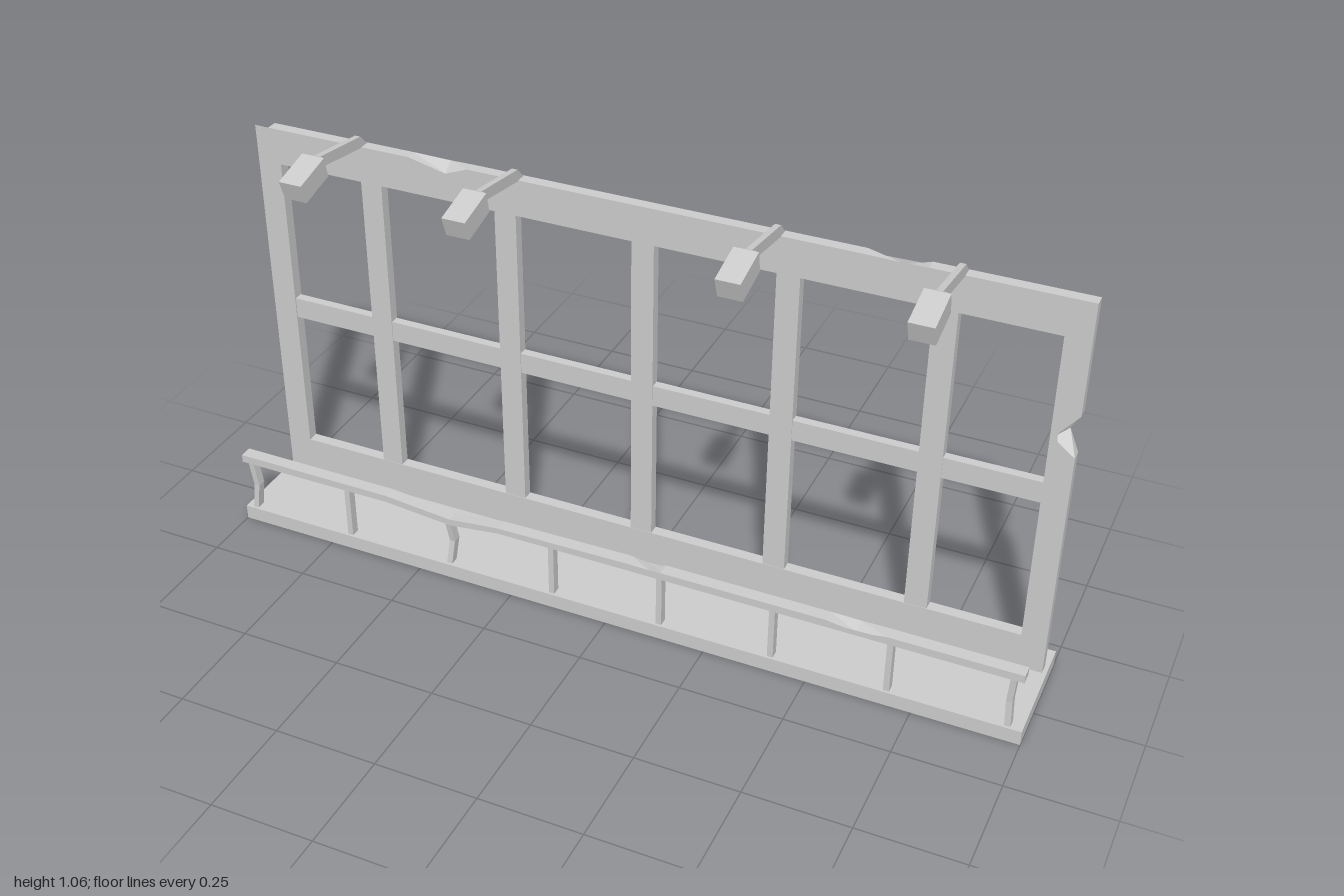
import * as THREE from 'three';

const material = new THREE.MeshStandardMaterial({ color: 0xcccccc, flatShading: true, side: THREE.DoubleSide });

function add(parent, name, geometry, x = 0, y = 0, z = 0) {
  const mesh = new THREE.Mesh(geometry, material);
  mesh.name = name;
  mesh.position.set(x, y, z);
  parent.add(mesh);
  return mesh;
}

// Box given by its limits on each axis
function block(parent, name, [x0, x1], [y0, y1], [z0, z1]) {
  return add(parent, name, new THREE.BoxGeometry(x1 - x0, y1 - y0, z1 - z0),
    (x0 + x1) / 2, (y0 + y1) / 2, (z0 + z1) / 2);
}

const toPoints = list => list.map(([x, y]) => new THREE.Vector2(x, y));

// Front outline given depth; each chip pulls one outline corner on the front or back face
function chippedPanel(outline, holes, z0, z1, chips) {
  const shape = new THREE.Shape(toPoints(outline));
  for (const hole of holes) shape.holes.push(new THREE.Path(toPoints(hole)));
  const geo = new THREE.ExtrudeGeometry(shape, { depth: z1 - z0, bevelEnabled: false });
  geo.translate(0, 0, z0);
  const p = geo.attributes.position, middle = (z0 + z1) / 2;
  for (let i = 0; i < p.count; i++) {
    const front = p.getZ(i) > middle;
    for (const { at, to, face } of chips) {
      if (front === (face === 'front') && Math.hypot(p.getX(i) - at[0], p.getY(i) - at[1]) < 1e-4) {
        p.setXY(i, to[0], to[1]);
        break;
      }
    }
  }
  geo.computeVertexNormals();
  return geo;
}

// Side profile of [z, y] points, extruded across x and centred
function sideProfile(points, width) {
  const geo = new THREE.ExtrudeGeometry(new THREE.Shape(toPoints(points)), { depth: width, bevelEnabled: false });
  geo.translate(0, 0, -width / 2);
  geo.rotateY(-Math.PI / 2);
  return geo;
}

// Narrow a geometry in x where the test holds
function taper(geo, test, factor) {
  const p = geo.attributes.position;
  for (let i = 0; i < p.count; i++) {
    if (test(p.getY(i), p.getZ(i))) p.setX(i, p.getX(i) * factor);
  }
  geo.computeVertexNormals();
  return geo;
}

function makeLamp(x) {
  const lamp = new THREE.Group();
  lamp.name = 'lamp';
  lamp.position.x = x;
  add(lamp, 'lampArm', sideProfile(
    [[-0.125, 0.998], [-0.1, 0.998], [0.078, 1.025], [0.078, 1.052], [-0.097, 1.027]], 0.014));
  add(lamp, 'lampNeck', taper(sideProfile(
    [[0.074, 1.022], [0.084, 1.008], [0.087, 1.058], [0.074, 1.053]], 0.056), (y, z) => z < 0.08, 0.5));
  add(lamp, 'lampHousing', sideProfile(
    [[0.168, 0.986], [0.185, 1.034], [0.087, 1.059], [0.076, 1.01]], 0.056));
  add(lamp, 'lampLens', taper(sideProfile(
    [[0.157, 0.99], [0.145, 0.976], [0.1, 0.988], [0.092, 1.007]], 0.046), y => y < 0.989, 0.75));
  return lamp;
}

// Guard post, optionally kinked along its height
function postGeometry(bendX, bendZ) {
  const geo = new THREE.BoxGeometry(0.014, 0.14, 0.022, 1, 4, 1);
  const p = geo.attributes.position;
  for (let i = 0; i < p.count; i++) {
    const k = Math.max(0, 1 - Math.abs(p.getY(i)) / 0.07);
    p.setX(i, p.getX(i) + bendX * k);
    p.setZ(i, p.getZ(i) + bendZ * k);
  }
  return geo;
}

export function createModel() {
  const model = new THREE.Group();
  model.name = 'billboardFrame';

  // Ground slab
  block(model, 'base', [-1, 1], [0, 0.037], [-0.185, 0.112]);

  // Outer frame with worn edges
  const frameOutline = [
    [-0.996, 0.037], [0.99, 0.037], [0.99, 0.625], [0.967, 0.68], [0.99, 0.73], [0.99, 1],
    [0.64, 1], [0.58, 0.999], [0.5, 1], [-0.435, 1], [-0.49, 0.999], [-0.585, 1],
    [-0.96, 0.9995], [-0.996, 1], [-0.9955, 0.96]];
  const opening = [[-0.935, 0.128], [-0.935, 0.91], [0.932, 0.91], [0.932, 0.128]];
  add(model, 'outerFrame', chippedPanel(frameOutline, [opening], -0.126, -0.098, [
    { at: [0.967, 0.68], to: [0.938, 0.665], face: 'front' },
    { at: [-0.49, 0.999], to: [-0.49, 0.978], face: 'front' },
    { at: [0.58, 0.999], to: [0.58, 0.98], face: 'back' },
    { at: [-0.996, 1], to: [-0.973, 0.977], face: 'back' },
  ]));

  // Uprights and the crossbar pieces between them
  const uprights = [-0.69, -0.342, -0.003, 0.337, 0.684];
  for (const x of uprights) block(model, 'upright', [x - 0.027, x + 0.027], [0.12, 0.918], [-0.125, -0.099]);
  block(model, 'crossbar', [-0.94, 0.937], [0.492, 0.545], [-0.123, -0.101]);

  // Lamps on bent arms
  for (const x of [-0.715, -0.312, 0.309, 0.71]) model.add(makeLamp(x));

  // Sagging guard rail
  const railOutline = [
    [-0.996, 0.172], [-0.585, 0.173], [-0.41, 0.157], [-0.28, 0.173], [0.99, 0.172],
    [0.99, 0.192], [0.68, 0.192], [0.61, 0.191], [0.54, 0.192], [0.14, 0.192], [0.11, 0.191],
    [0.055, 0.192], [-0.28, 0.188], [-0.41, 0.174], [-0.585, 0.191], [-0.996, 0.192]];
  add(model, 'guardRail', chippedPanel(railOutline, [], 0.078, 0.11, [
    { at: [0.61, 0.191], to: [0.61, 0.181], face: 'front' },
    { at: [0.11, 0.191], to: [0.11, 0.183], face: 'back' },
  ]));

  // Guard posts, a few of them bent
  const bends = { 0: [0.008, -0.003], 2: [0.007, -0.01], 7: [-0.004, -0.003] };
  for (let i = 0; i < 8; i++) {
    const [bx, bz] = bends[i] || [0, 0];
    add(model, 'guardPost', postGeometry(bx, bz), -0.975 + i * 0.2773, i === 2 ? 0.1 : 0.104, 0.095);
  }

  return model;
}
